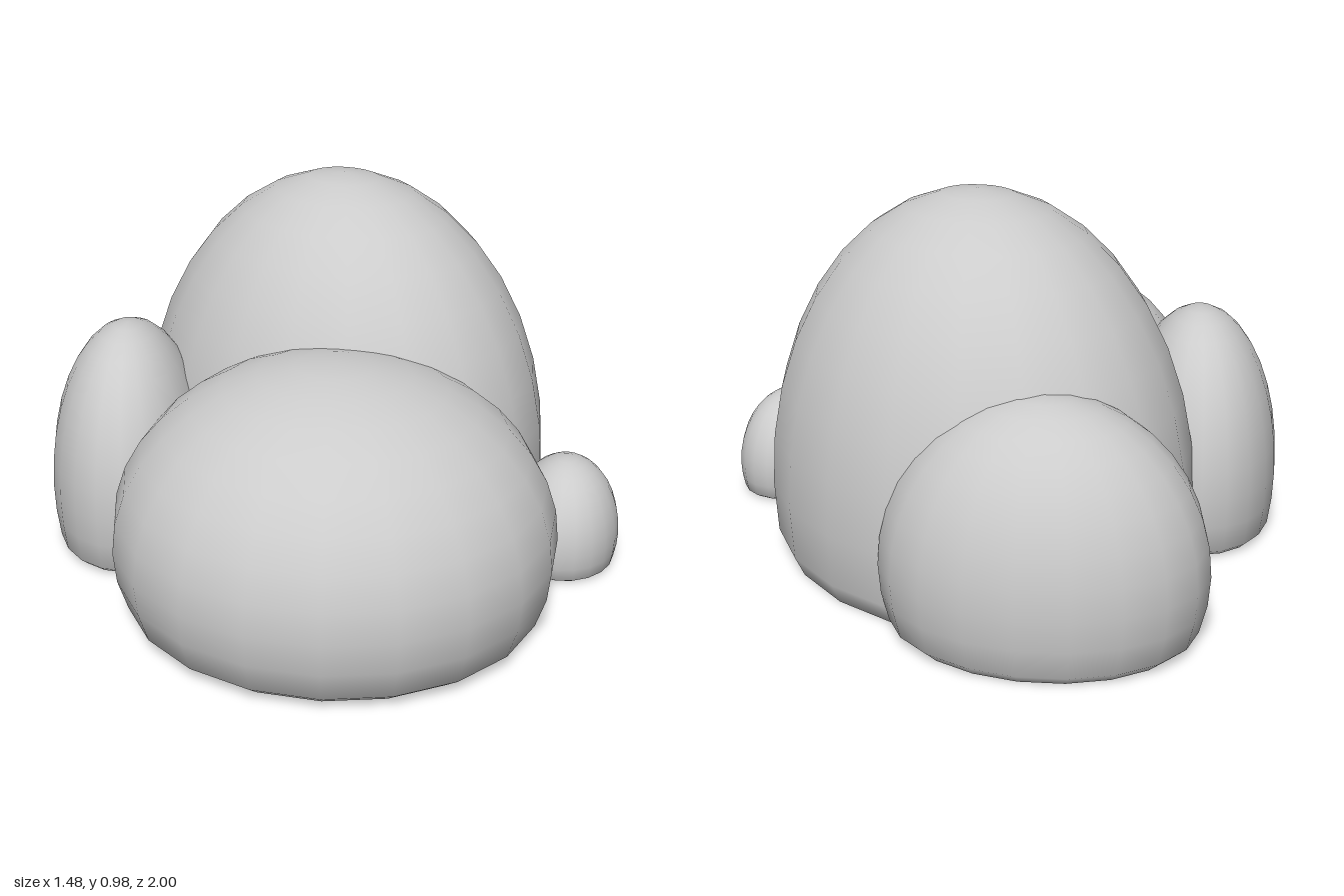
import * as THREE from 'three';
import { mergeVertices } from 'three/addons/utils/BufferGeometryUtils.js';

// Ellipsoid mound with its underside pressed flat onto the ground
function mound(name, [x, y, z], [rx, ry, rz], turn, material) {
  let geo = new THREE.SphereGeometry(1, 20, 18);
  geo.scale(rx, ry, rz);
  geo.rotateY(turn);
  geo.translate(x, y, z);
  const p = geo.attributes.position;
  for (let i = 0; i < p.count; i++) p.setY(i, Math.max(0, p.getY(i)));
  // weld the seam so the shading is smooth all round
  geo.deleteAttribute('uv');
  geo.deleteAttribute('normal');
  geo = mergeVertices(geo, 1e-4);
  geo.computeVertexNormals();
  const mesh = new THREE.Mesh(geo, material);
  mesh.name = name;
  return mesh;
}

export function createModel() {
  const group = new THREE.Group();
  group.name = 'moundCluster';
  const material = new THREE.MeshStandardMaterial({ color: 0xcccccc });

  // name, centre, radii, turn about y
  const mounds = [
    ['largeMound', [0.19, 0.19, -0.1], [0.545, 0.79, 0.65], 0],
    ['frontMound', [-0.17, 0.19, 0.42], [0.57, 0.463, 0.58], 0],
    ['backMound', [0.285, 0.17, -0.64], [0.405, 0.425, 0.325], -0.7],
    ['sideMound', [-0.43, 0.17, -0.225], [0.337, 0.445, 0.222], 1.03],
    ['smallMound', [0.495, 0.08, 0.55], [0.189, 0.21, 0.15], 0.79],
  ];
  for (const [name, centre, radii, turn] of mounds) {
    group.add(mound(name, centre, radii, turn, material));
  }
  return group;
}
